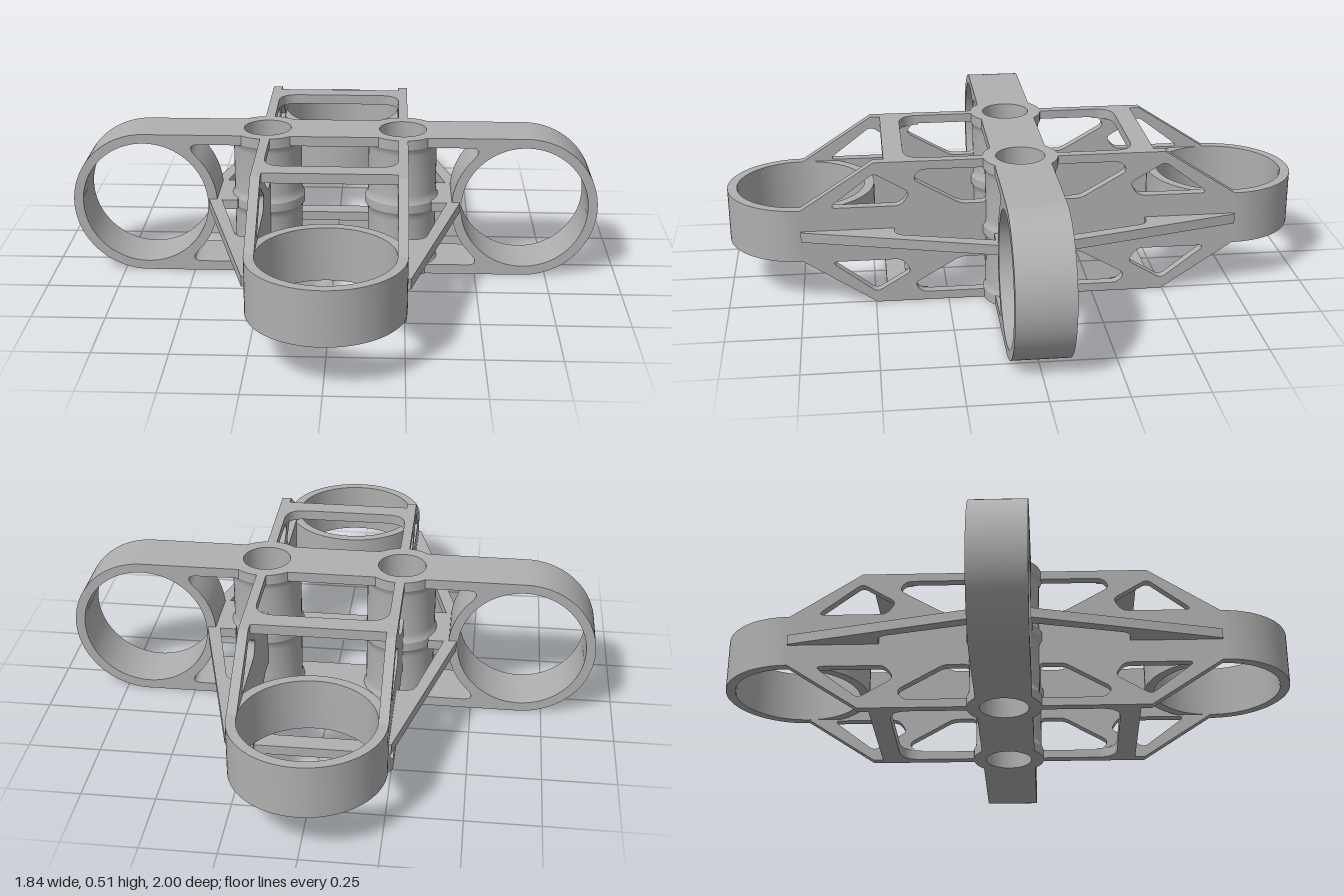
import * as THREE from 'three';
import { toCreasedNormals } from 'three/addons/utils/BufferGeometryUtils.js';

const H = 0.51, MID = H / 2, SKIN = 0.035;      // overall height, bar thickness
const R_OUT = 0.255, R_IN = 0.222;              // large rings
const BORE_X = 0.238, BORE_R = 0.083;           // vertical posts

const metal = new THREE.MeshStandardMaterial({ color: 0xb0b0b0 });
metal.name = 'grey metal';

// Trace a polygon with rounded corners; each point is [x, y, cornerRadius]
function trace(points, path = new THREE.Shape()) {
  const n = points.length;
  points.forEach(([x, y, r = 0], i) => {
    const p = new THREE.Vector2(x, y);
    const toward = (q) => new THREE.Vector2(q[0], q[1]).sub(p).normalize().multiplyScalar(r).add(p);
    const a = toward(points[(i + n - 1) % n]);
    const b = toward(points[(i + 1) % n]);
    if (i === 0) path.moveTo(a.x, a.y); else path.lineTo(a.x, a.y);
    if (r > 0) path.quadraticCurveTo(x, y, b.x, b.y);
  });
  path.closePath();
  return path;
}

function circleHole(x, y, r) {
  return new THREE.Path().absarc(x, y, r, 0, Math.PI * 2, true);
}

const extrude = (shape, depth) =>
  new THREE.ExtrudeGeometry(shape, { depth, bevelEnabled: false, curveSegments: 40 });

// Horizontal slab: the shape is drawn in x and z
const slab = (shape, top, depth) => extrude(shape, depth).rotateX(Math.PI / 2).translate(0, top, 0);

function add(group, name, geometry) {
  const mesh = new THREE.Mesh(toCreasedNormals(geometry, 0.5), metal);
  mesh.name = name;
  group.add(mesh);
}

// Ring at the end of the cross beam, with the stubs of its top and bottom bars
function beamEnd() {
  const cx = 0.667, a = 0.75, s = new THREE.Shape();
  const ax = cx - R_OUT * Math.cos(a), dy = R_OUT * Math.sin(a);
  s.moveTo(0.4, 0);
  s.lineTo(cx, 0);
  s.absarc(cx, MID, R_OUT, -Math.PI / 2, Math.PI / 2, false);
  s.lineTo(0.4, H);
  s.lineTo(0.4, H - SKIN);
  s.lineTo(0.47, H - SKIN);
  s.quadraticCurveTo(0.525, H - SKIN, ax, MID + dy);
  s.absarc(cx, MID, R_OUT, Math.PI - a, Math.PI + a, false);
  s.quadraticCurveTo(0.525, SKIN, 0.47, SKIN);
  s.lineTo(0.4, SKIN);
  s.closePath();
  s.holes.push(circleHole(cx, MID, R_IN));
  return extrude(s, 0.19).translate(0, 0, -0.095);
}

// Bored post with small fillets against the bars and the middle web
function post() {
  const outer = [[0.128, 0], [0.128, 0.035], [0.122, 0.045], [0.12, 0.06],
    [0.12, 0.21], [0.122, 0.228], [0.13, 0.24]];
  const upper = outer.map(([r, y]) => [r, H - y]).reverse();
  const profile = [[BORE_R, 0], ...outer, ...upper, [BORE_R, H], [BORE_R, 0]];
  return new THREE.LatheGeometry(profile.map(([r, y]) => new THREE.Vector2(r, y)), 48);
}

// Tapered side truss, drawn in z and y, with four windows
function truss() {
  const s = trace([[0.1, 0], [0.495, 0], [0.745, 0.165], [0.745, 0.347], [0.495, H], [0.1, H]]);
  const windows = [
    [[0.117, 0.48, 0.02], [0.345, 0.48, 0.025], [0.365, 0.445, 0.02], [0.205, 0.353, 0.02], [0.117, 0.353, 0.02]],
    [[0.495, 0.472, 0.02], [0.65, 0.353, 0.03], [0.405, 0.353, 0.025], [0.375, 0.4, 0.02]],
  ];
  for (const w of windows) {
    s.holes.push(trace(w, new THREE.Path()));
    s.holes.push(trace(w.map(([z, y, r]) => [z, H - y, r]), new THREE.Path()));
  }
  return extrude(s, R_OUT - R_IN).rotateY(-Math.PI / 2);
}

// Flat triangular brace outside a truss
function wing(side) {
  const points = [[0.34, 0], [0.44, 0], [0.44, 0.1], [0.264, 0.745], [0.245, 0.745],
    [0.245, 0.43], [0.312, 0.43, 0.035], [0.395, 0.1], [0.34, 0.1]];
  return slab(trace(points.map(([x, z, r]) => [x * side, z, r])), 0.273, SKIN);
}

// Everything on one side of the cross beam
function frameHalf(name) {
  const g = new THREE.Group();
  g.name = name;
  const ring = new THREE.Shape().absarc(0, 0.745, R_OUT, 0, Math.PI * 2, false);
  ring.holes.push(circleHole(0, 0.745, R_IN));
  add(g, 'endRing', slab(ring, 0.348, 0.185));
  add(g, 'leftTruss', truss().translate(R_OUT, 0, 0));
  add(g, 'rightTruss', truss().translate(-R_IN, 0, 0));
  add(g, 'leftWing', wing(1));
  add(g, 'rightWing', wing(-1));
  const bar = trace([[-0.223, 0.46], [0.223, 0.46], [0.223, 0.32],
    [0.22, 0.392, 0.07], [-0.22, 0.392, 0.07], [-0.223, 0.32]]);
  add(g, 'topCrossBar', slab(bar, H, SKIN));
  add(g, 'bottomCrossBar', slab(bar, SKIN, SKIN));
  return g;
}

export function createModel() {
  const model = new THREE.Group();
  model.name = 'ringFrame';

  // Cross beam
  add(model, 'leftBeamRing', beamEnd());
  add(model, 'rightBeamRing', beamEnd().rotateY(Math.PI));
  const bar = trace([[-0.4, -0.095], [0.4, -0.095], [0.4, 0.095], [-0.4, 0.095]]);
  bar.holes.push(circleHole(BORE_X, 0, BORE_R), circleHole(-BORE_X, 0, BORE_R));
  add(model, 'topBeamBar', slab(bar, H, SKIN));
  add(model, 'bottomBeamBar', slab(bar, SKIN, SKIN));
  add(model, 'leftPost', post().translate(BORE_X, 0, 0));
  add(model, 'rightPost', post().translate(-BORE_X, 0, 0));

  // Front and back halves
  const back = frameHalf('backFrame');
  back.rotation.y = Math.PI;
  model.add(frameHalf('frontFrame'), back);
  return model;
}
